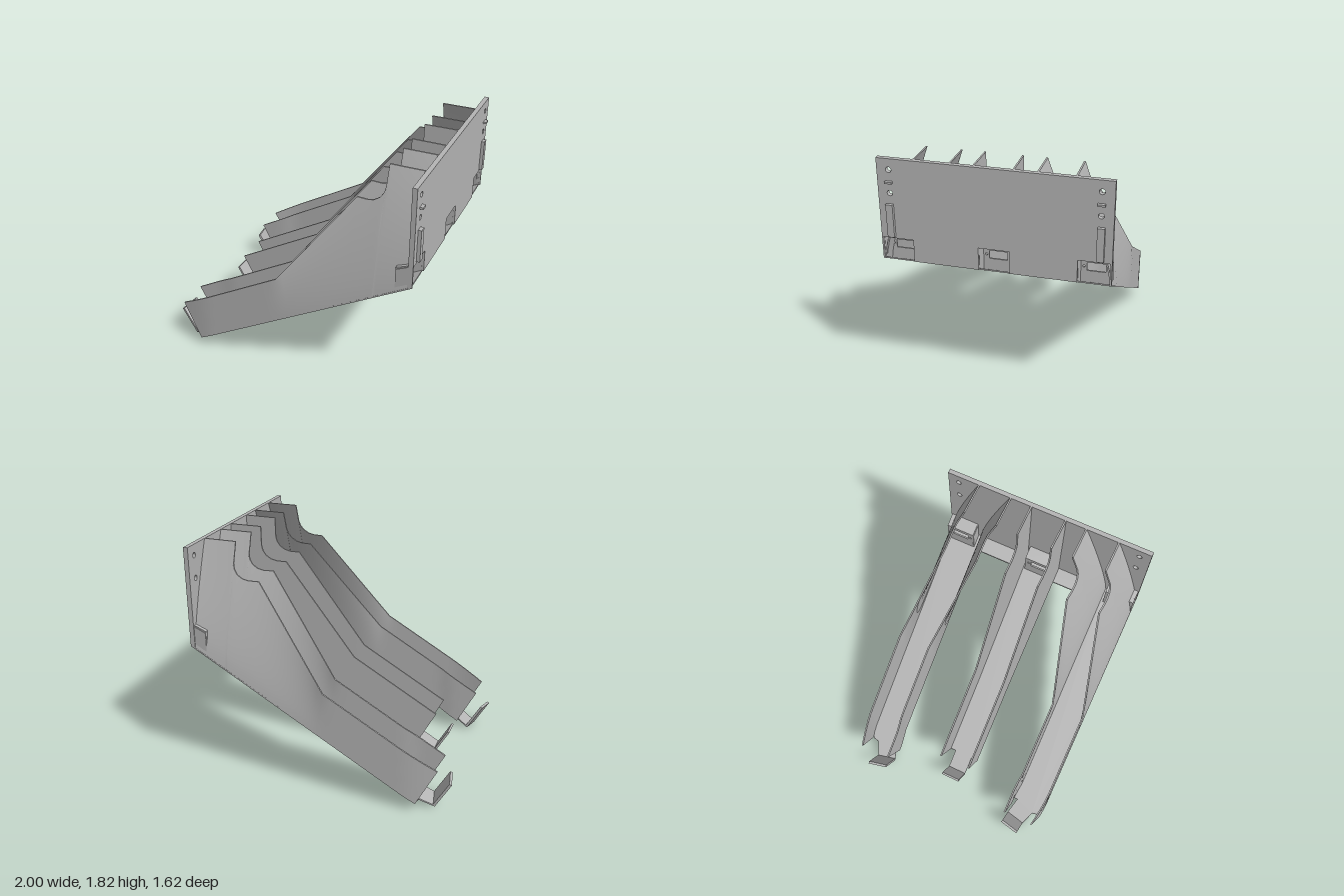
import * as THREE from 'three';
import { toCreasedNormals } from 'three/addons/utils/BufferGeometryUtils.js';

const T = 0.012; // sheet thickness
const clamp = THREE.MathUtils.clamp;
const floorY = x => 0.515 + 0.573 * x;

// Inward lean of the flared side walls
function lean(x, y) {
  if (x <= -0.06) return 0;
  const full = Math.min(1.83, 0.85 + 1.31 * (x + 0.06));
  const f = clamp((y - floorY(x)) / (full - floorY(x)), 0, 1);
  return 0.25 * clamp((x + 0.06) / 0.75, 0, 1) * Math.pow(f, 1.3);
}

// Curved sheet wall made from closed vertical cross-sections
function wallGeometry(startX, side, zAt) {
  const tops = [[startX, 0.85 + 0.573 * (startX + 0.06)], [-0.06, 0.85], [0.49, 1.57], [0.57, 1.57],
    [0.615, 1.58], [0.655, 1.605], [0.68, 1.64], [0.69, 1.68], [0.691, 1.83], [0.945, 1.83]];
  const columns = [];
  for (let k = 0; k < tops.length - 1; k++) {
    const [a, b] = [tops[k], tops[k + 1]];
    const n = b[0] - a[0] > 0.2 ? 14 : 1;
    for (let i = 0; i < n; i++) columns.push([a[0] + (b[0] - a[0]) * i / n, a[1] + (b[1] - a[1]) * i / n]);
  }
  columns.push(tops[tops.length - 1]);
  const rows = 12, loop = 2 * (rows + 1), pos = [], idx = [];
  const tri = (a, b, c) => side > 0 ? idx.push(a, b, c) : idx.push(a, c, b);
  for (const [tx, ty] of columns) {
    const bx = tx + 0.15 * clamp((0.49 - tx) / (0.49 - startX), 0, 1);
    for (let m = 0; m < loop; m++) {
      const outer = m <= rows, j = outer ? m : loop - 1 - m;
      const x = bx + (tx - bx) * j / rows;
      const y = floorY(bx) + (ty - floorY(bx)) * j / rows;
      pos.push(x, y, side * (zAt(x, y) - (outer ? 0 : T)));
    }
  }
  for (let i = 0; i < columns.length - 1; i++) {
    for (let m = 0; m < loop; m++) {
      const a = i * loop + m, b = i * loop + (m + 1) % loop, c = a + loop, d = b + loop;
      tri(a, c, b);
      tri(b, c, d);
    }
  }
  const last = (columns.length - 1) * loop;
  for (let j = 0; j < rows; j++) {
    const p = j, q = j + 1, r = loop - 1 - j, s = loop - 2 - j;
    tri(p, q, r); tri(q, s, r);
    tri(last + p, last + r, last + q); tri(last + q, last + r, last + s);
  }
  const g = new THREE.BufferGeometry();
  g.setAttribute('position', new THREE.Float32BufferAttribute(pos, 3));
  g.setIndex(idx);
  return toCreasedNormals(g, 0.5);
}

// Flat sheet spanned by an edge p-q, a rise and a thickness vector
function panelGeometry(p, q, rise, thick) {
  let P = new THREE.Vector3(...p), Q = new THREE.Vector3(...q);
  const U = new THREE.Vector3(...rise), N = new THREE.Vector3(...thick);
  if (Q.clone().sub(P).cross(U).dot(N) < 0) [P, Q] = [Q, P];
  const m = new THREE.Matrix4().makeBasis(Q.clone().sub(P), U, N).setPosition(P);
  const g = new THREE.BoxGeometry(1, 1, 1).translate(0.5, 0.5, 0.5).applyMatrix4(m);
  g.computeVertexNormals();
  return g;
}

const toShape = pts => new THREE.Shape(pts.map(p => new THREE.Vector2(...p)));
const extrude = (shape, depth) => new THREE.ExtrudeGeometry(shape, { depth, bevelEnabled: false, curveSegments: 20 });

function addHole(shape, x, y, r) {
  const h = new THREE.Path();
  h.absarc(x, y, r, 0, Math.PI * 2, true);
  shape.holes.push(h);
}

export function createModel() {
  const group = new THREE.Group();
  const grey = new THREE.MeshStandardMaterial({ color: 0xb4b4b4 });
  grey.name = 'sheet metal grey';
  const add = (name, geometry, parent = group) => {
    const mesh = new THREE.Mesh(geometry, grey);
    mesh.name = name;
    parent.add(mesh);
    return mesh;
  };

  // Sloping floor sheet: three arms joined along the plate, with hook necks
  const half = [[0.965, 0.81], [-0.68, 0.808], [-0.76, 0.78], [-0.77, 0.73], [-0.88, 0.685], [-0.85, 0.535],
    [-0.72, 0.57], [-0.72, 0.54], [-0.6, 0.547], [0.84, 0.55], [0.84, 0.13], [-0.58, 0.13], [-0.58, 0.075], [-0.72, 0.075]];
  const outline = half.concat(half.map(([x, z]) => [x, -z]).reverse());
  const floor = extrude(toShape(outline), T).rotateX(-Math.PI / 2);
  const fp = floor.attributes.position;
  for (let i = 0; i < fp.count; i++) fp.setY(i, fp.getY(i) + floorY(fp.getX(i)));
  floor.computeVertexNormals();
  add('armFloor', floor);

  // Side walls and end hooks
  const outerZ = (x, y) => 0.81 - lean(x, y) - 0.035 * Math.pow(clamp((-0.65 - x) / 0.26, 0, 1), 1.5);
  const innerZ = (x, y) => 0.555 - lean(x, y) - 0.015 * THREE.MathUtils.smoothstep(-x, 0.58, 0.72);
  const centreZ = x => 0.13 + 0.012 * clamp(x / 0.94, 0, 1);
  const rise = [-0.12, 0.205, 0];
  for (const s of [1, -1]) {
    const name = s > 0 ? 'left' : 'right';
    add(name + 'OuterWall', wallGeometry(-0.91, s, outerZ));
    add(name + 'InnerWall', wallGeometry(-0.91, s, innerZ));
    add(name + 'CentreWall', wallGeometry(-0.73, s, centreZ));
    add(name + 'HookLip', panelGeometry([-0.88, floorY(-0.88), s * 0.685], [-0.85, floorY(-0.85), s * 0.535],
      rise, [0.017, 0.009, s * 0.003]));
  }
  add('centreHookLip', panelGeometry([-0.72, floorY(-0.72), 0.075], [-0.72, floorY(-0.72), -0.075],
    [-0.11, 0.19, 0], [0.014, 0.008, 0]));

  // Mounting plate with bolt holes and three bottom notches
  const notches = [-0.688, 0, 0.688];
  const platePts = [[-0.81, 1.83], [-0.81, 1.072]];
  for (const c of notches) platePts.push([c - 0.11, 1.072], [c - 0.11, 1.24], [c + 0.11, 1.24], [c + 0.11, 1.072]);
  platePts.push([0.81, 1.072], [0.81, 1.83]);
  const plate = toShape(platePts);
  for (const s of [1, -1]) for (const y of [1.58, 1.75]) addHole(plate, s * 0.725, y, 0.02);
  add('mountingPlate', extrude(plate, 0.035).rotateY(Math.PI / 2).translate(0.94, 0, 0));

  // Raised guides on the plate
  for (const s of [1, -1]) {
    add('longGuide', new THREE.BoxGeometry(0.03, 0.245, 0.05).translate(0.985, 1.378, s * 0.73));
    add('shortGuide', new THREE.BoxGeometry(0.03, 0.014, 0.052).translate(0.985, 1.662, s * 0.725));
  }

  // Recessed pockets behind the notches
  for (const c of notches) {
    const pocket = new THREE.Group();
    pocket.name = 'recessedPocket';
    pocket.position.z = c;
    const back = toShape([[-0.11, 1.015], [0.11, 1.015], [0.11, 1.19], [-0.11, 1.19]]);
    back.holes.push(new THREE.Path([[-0.065, 1.108], [-0.065, 1.17], [0.065, 1.17], [0.065, 1.108]].map(p => new THREE.Vector2(...p))));
    for (const s of [1, -1]) addHole(back, s * 0.087, 1.14, 0.009);
    add('pocketBack', extrude(back, T).rotateY(Math.PI / 2).translate(0.848, 0, 0), pocket);
    add('pocketCeiling', panelGeometry([0.97, 1.24, -0.11], [0.97, 1.24, 0.11], [-0.122, -0.05, 0], [0, T, 0]), pocket);
    const cheek = toShape([[0.85, 1.01], [0.96, 1.07], [0.96, 1.24], [0.85, 1.19]]);
    for (const s of [1, -1]) add('pocketCheek', extrude(cheek, 0.008).translate(0, 0, s * 0.112 - 0.004), pocket);
    group.add(pocket);
  }
  return group;
}
